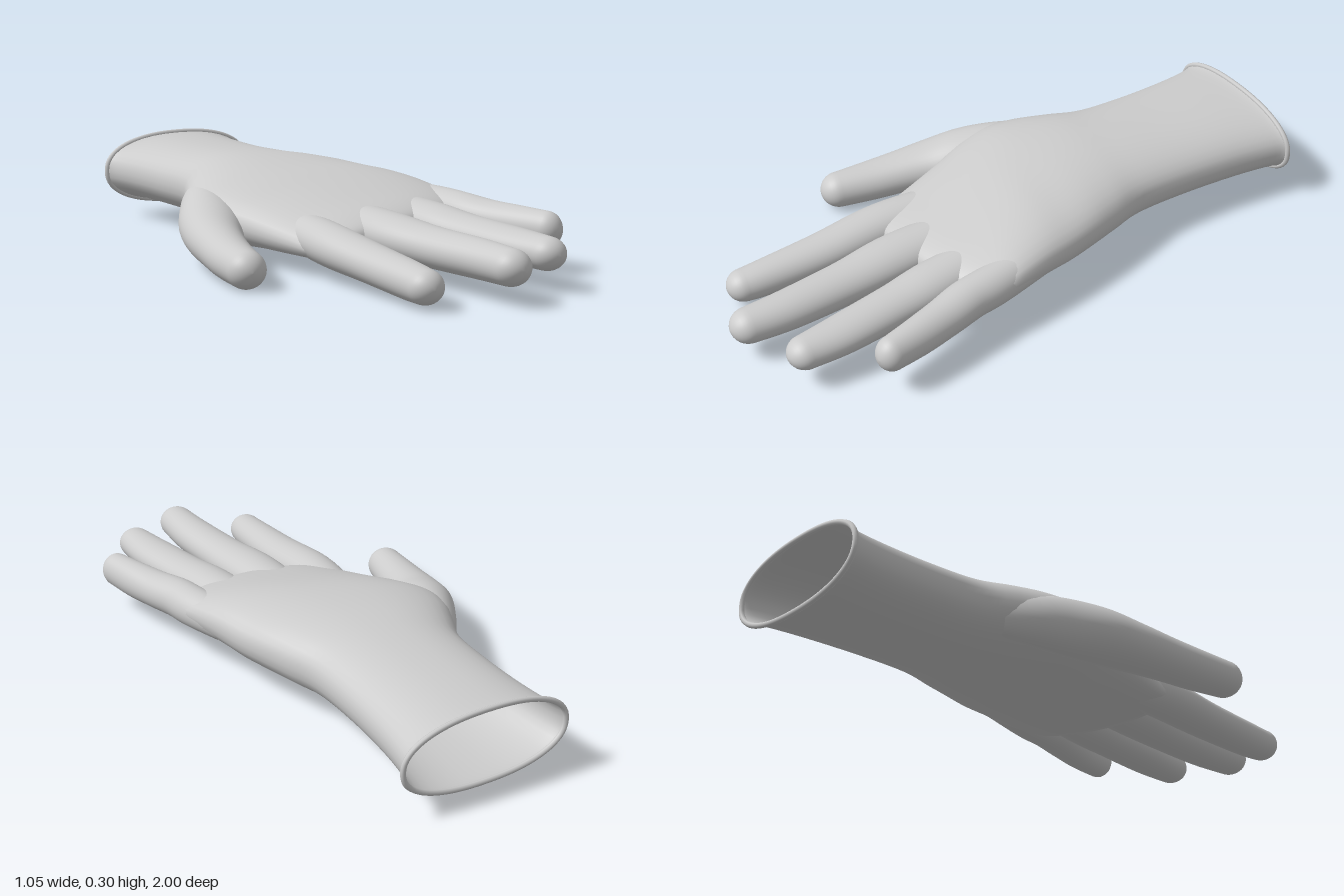
import * as THREE from 'three';

const SIDES = 40;
const material = new THREE.MeshStandardMaterial({ color: 0xcccccc, side: THREE.DoubleSide });

// Catmull-Rom blend of rows of numbers, giving `steps` rows per span
function smoothRows(rows, steps) {
  const out = [];
  const at = (i) => rows[Math.max(0, Math.min(rows.length - 1, i))];
  for (let i = 0; i < rows.length - 1; i++) {
    for (let s = 0; s < steps; s++) {
      const t = s / steps;
      out.push(rows[i].map((p1, k) => {
        const p0 = at(i - 1)[k], p2 = at(i + 1)[k], p3 = at(i + 2)[k];
        return p1 + 0.5 * t * (p2 - p0 + t * (2 * p0 - 5 * p1 + 4 * p2 - p3 + t * (3 * (p1 - p2) + p3 - p0)));
      }));
    }
  }
  out.push(rows[rows.length - 1]);
  return out;
}

// One cross-section: rounded oval that may tilt (y), skew and bow (z) across its width
function ringPoints({ x, y, z, hw, hh, tilt = 0, skew = 0, bow = 0, power = 1 }) {
  const pts = [];
  for (let j = 0; j < SIDES; j++) {
    const a = (j / SIDES) * Math.PI * 2;
    const u = Math.sign(Math.cos(a)) * Math.abs(Math.cos(a)) ** power;
    const v = Math.sign(Math.sin(a)) * Math.abs(Math.sin(a)) ** power;
    pts.push(new THREE.Vector3(x + hw * u, y + hh * v + tilt * u, z + skew * u + bow * (1 - u * u)));
  }
  return pts;
}

// Smooth skin over a list of rings
function loft(name, rings) {
  const pos = [], index = [];
  rings.forEach((ring) => ring.forEach((p) => pos.push(p.x, p.y, p.z)));
  for (let i = 0; i < rings.length - 1; i++) {
    for (let j = 0; j < SIDES; j++) {
      const a = i * SIDES + j, b = i * SIDES + ((j + 1) % SIDES);
      index.push(a, b, a + SIDES, b, b + SIDES, a + SIDES);
    }
  }
  const geo = new THREE.BufferGeometry();
  geo.setAttribute('position', new THREE.Float32BufferAttribute(pos, 3));
  geo.setIndex(index);
  geo.computeVertexNormals();
  const mesh = new THREE.Mesh(geo, material);
  mesh.name = name;
  return mesh;
}

// Finger: rows of [x, y, z, halfWidth, halfHeight], closed by a round tip
function finger(name, stations) {
  const rows = smoothRows(stations, 6);
  const slope = (i) => {
    const a = rows[Math.max(0, i - 1)], b = rows[Math.min(rows.length - 1, i + 1)];
    return (b[0] - a[0]) / (b[2] - a[2]);
  };
  const rings = rows.map(([x, y, z, hw, hh], i) => ringPoints({ x, y, z, hw, hh, skew: -hw * slope(i) }));
  const [x, y, z, hw, hh] = rows[rows.length - 1];
  const s = slope(rows.length - 1);
  for (let k = 1; k <= 8; k++) {
    const a = (k / 8) * Math.PI / 2, c = Math.cos(a), d = hw * Math.sin(a);
    rings.push(ringPoints({ x: x + d * s, y, z: z + d, hw: hw * c, hh: hh * c, skew: -hw * c * s }));
  }
  return loft(name, rings);
}

export function createModel() {
  const glove = new THREE.Group();
  glove.name = 'glove';

  // Cuff, wrist and palm: [left x, right x, z, bottom y, top y, tilt, skew, bow]
  const body = [
    [-0.435, 0.135, -0.95, 0.045, 0.29, 0, -0.04, 0],
    [-0.415, 0.125, -0.91, 0.05, 0.285, 0, -0.04, 0],
    [-0.385, 0.122, -0.78, 0.05, 0.285, 0, -0.03, 0],
    [-0.36, 0.135, -0.6, 0.05, 0.285, 0, -0.01, 0],
    [-0.345, 0.165, -0.42, 0.05, 0.29, 0, 0, 0],
    [-0.375, 0.215, -0.3, 0.045, 0.295, 0, 0, 0],
    [-0.41, 0.26, -0.2, 0.04, 0.293, 0.005, 0, 0],
    [-0.425, 0.3, -0.1, 0.035, 0.285, 0.01, 0, 0],
    [-0.4, 0.335, 0, 0.035, 0.272, 0.02, 0, 0],
    [-0.345, 0.365, 0.1, 0.04, 0.25, 0.025, -0.01, 0],
    [-0.29, 0.385, 0.2, 0.047, 0.22, 0.03, -0.04, 0.01],
    [-0.25, 0.385, 0.28, 0.055, 0.19, 0.03, -0.06, 0.03],
    [-0.235, 0.375, 0.32, 0.075, 0.16, 0.03, -0.07, 0.045],
    [-0.225, 0.37, 0.33, 0.117, 0.118, 0.03, -0.07, 0.05],
  ];
  const bodyRings = smoothRows(body, 5).map(([l, r, z, b, t, tilt, skew, bow]) => ringPoints({
    x: (l + r) / 2, y: (b + t) / 2, z, hw: (r - l) / 2, hh: (t - b) / 2, tilt, skew, bow, power: 0.88,
  }));
  glove.add(loft('palmAndCuff', bodyRings));

  // Rolled edge around the open cuff
  const rimCurve = new THREE.CatmullRomCurve3(bodyRings[0], true);
  const rim = new THREE.Mesh(new THREE.TubeGeometry(rimCurve, 96, 0.009, 8, true), material);
  rim.name = 'cuffRim';
  glove.add(rim);

  // Thumb and fingers, rooted inside the palm
  glove.add(finger('thumb', [
    [-0.3, 0.15, -0.32, 0.05, 0.07], [-0.345, 0.14, -0.2, 0.075, 0.085],
    [-0.375, 0.13, -0.1, 0.09, 0.09], [-0.405, 0.115, 0, 0.098, 0.086],
    [-0.432, 0.095, 0.1, 0.09, 0.076], [-0.447, 0.08, 0.2, 0.08, 0.069],
    [-0.457, 0.068, 0.3, 0.073, 0.065], [-0.464, 0.061, 0.415, 0.062, 0.06],
  ]));
  glove.add(finger('indexFinger', [
    [-0.17, 0.12, 0.16, 0.075, 0.06], [-0.166, 0.105, 0.38, 0.08, 0.066],
    [-0.135, 0.085, 0.6, 0.073, 0.06], [-0.113, 0.07, 0.8, 0.063, 0.057],
    [-0.108, 0.066, 0.875, 0.057, 0.053],
  ]));
  glove.add(finger('middleFinger', [
    [0.0, 0.14, 0.14, 0.08, 0.06], [0.033, 0.125, 0.4, 0.088, 0.068],
    [0.077, 0.115, 0.6, 0.077, 0.063], [0.12, 0.113, 0.8, 0.07, 0.06],
    [0.138, 0.112, 0.938, 0.061, 0.056],
  ]));
  glove.add(finger('ringFinger', [
    [0.165, 0.155, 0.1, 0.075, 0.06], [0.217, 0.135, 0.35, 0.082, 0.066],
    [0.255, 0.125, 0.5, 0.075, 0.06], [0.307, 0.118, 0.7, 0.07, 0.055],
    [0.332, 0.115, 0.825, 0.058, 0.052],
  ]));
  glove.add(finger('littleFinger', [
    [0.275, 0.165, 0.03, 0.06, 0.06], [0.328, 0.155, 0.2, 0.066, 0.066],
    [0.355, 0.15, 0.3, 0.065, 0.065], [0.395, 0.142, 0.4, 0.06, 0.062],
    [0.435, 0.138, 0.5, 0.055, 0.062], [0.472, 0.138, 0.6, 0.048, 0.058],
  ]));
  return glove;
}
